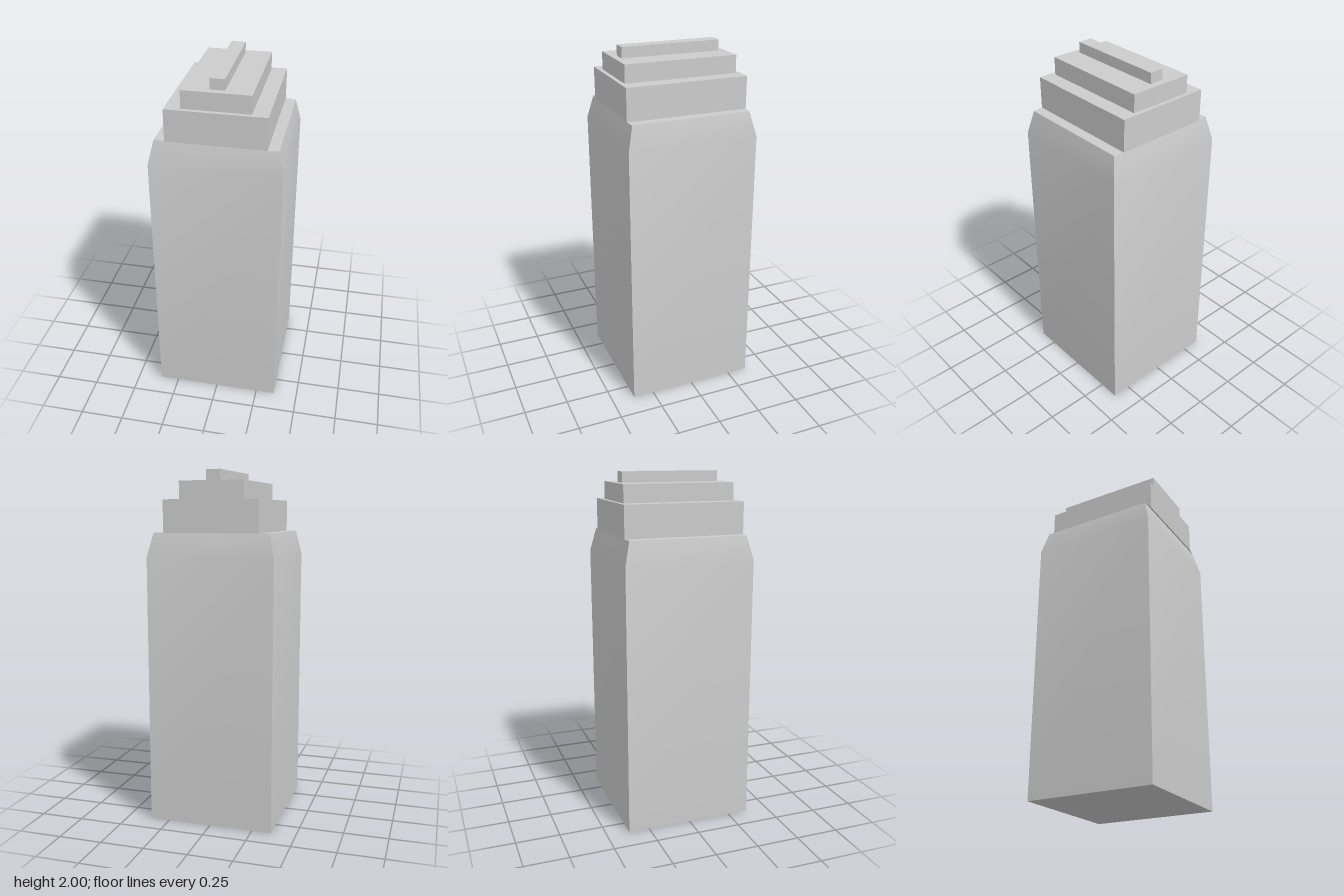
import * as THREE from 'three';
import { toCreasedNormals } from 'three/addons/utils/BufferGeometryUtils.js';

const material = new THREE.MeshStandardMaterial({ color: 0xcccccc });

// Joins rectangular rings [half width, height, half depth] from bottom to top.
function loft(name, rings, { capBottom = false, capTop = false } = {}) {
  const positions = [];
  const index = [];
  for (const [x, y, z] of rings) {
    positions.push(x, y, z, x, y, -z, -x, y, -z, -x, y, z);
  }
  for (let r = 0; r < rings.length - 1; r++) {
    for (let i = 0; i < 4; i++) {
      const a = r * 4 + i;
      const b = r * 4 + (i + 1) % 4;
      index.push(a, b, b + 4, a, b + 4, a + 4);
    }
  }
  const t = (rings.length - 1) * 4;
  if (capBottom) index.push(0, 2, 1, 0, 3, 2);
  if (capTop) index.push(t, t + 1, t + 2, t, t + 2, t + 3);

  const geometry = new THREE.BufferGeometry();
  geometry.setAttribute('position', new THREE.Float32BufferAttribute(positions, 3));
  geometry.setIndex(index);
  const mesh = new THREE.Mesh(toCreasedNormals(geometry, Math.PI / 6), material);
  mesh.name = name;
  return mesh;
}

export function createModel() {
  const model = new THREE.Group();
  model.name = 'steppedTower';

  // Tall shaft with a softly shaded tapered shoulder and a narrow ledge
  model.add(loft('towerBody', [
    [0.36, 0, 0.37],
    [0.36, 1.525, 0.37],
    [0.33, 1.66, 0.337],
    [0.27, 1.66, 0.345],
  ], { capBottom: true }));

  // Setback tiers, each ending in the ledge that carries the next one
  model.add(loft('lowerTier', [
    [0.27, 1.66, 0.345],
    [0.27, 1.84, 0.345],
    [0.184, 1.84, 0.321],
  ]));
  model.add(loft('upperTier', [
    [0.184, 1.84, 0.321],
    [0.184, 1.94, 0.321],
    [0.04, 1.94, 0.284],
  ]));

  // Narrow ridge along the roof
  model.add(loft('roofRidge', [
    [0.04, 1.94, 0.284],
    [0.04, 2, 0.284],
  ], { capTop: true }));

  return model;
}
